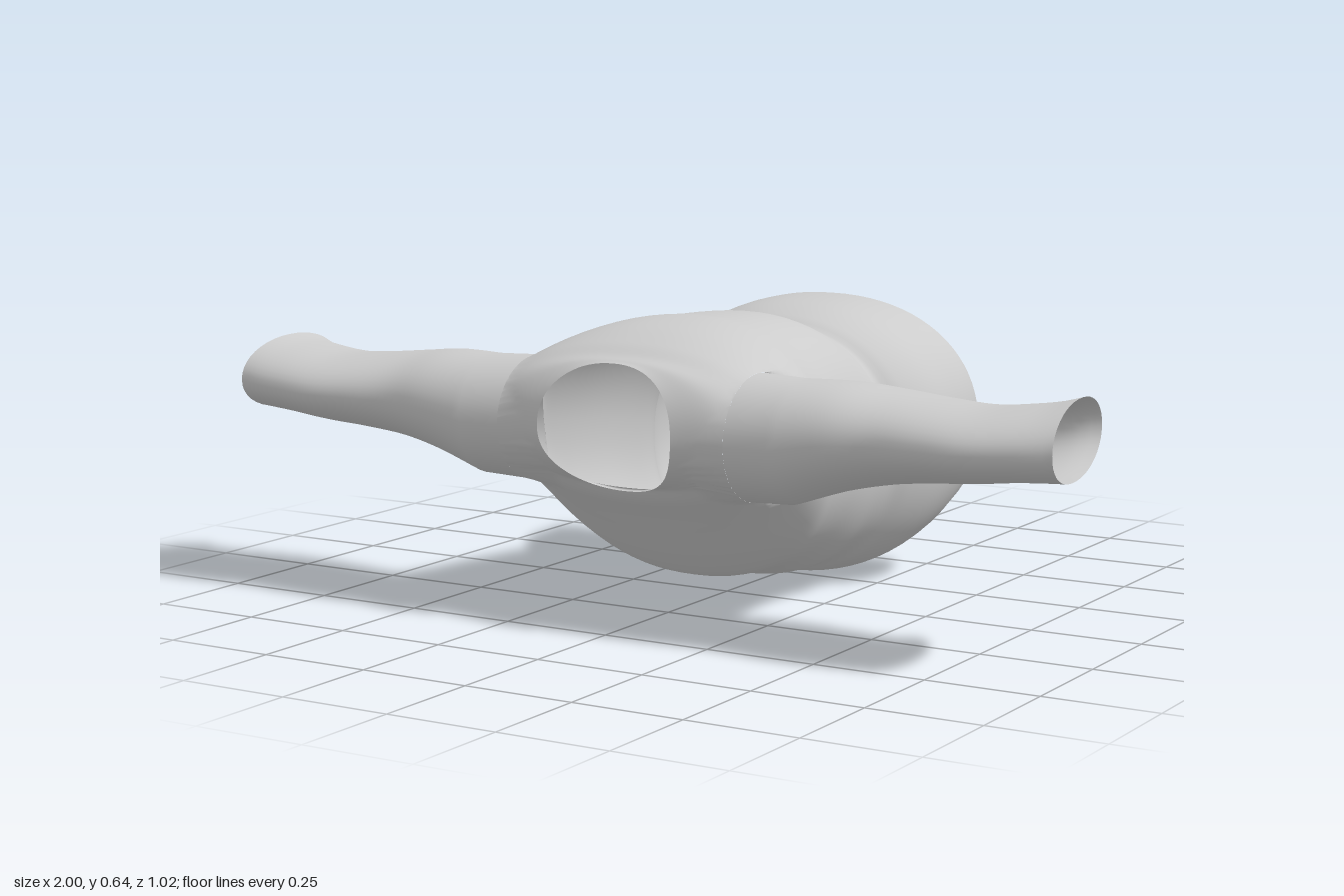
import * as THREE from 'three';

const material = new THREE.MeshStandardMaterial({ color: 0xcccccc, side: THREE.DoubleSide });
const AROUND = 80;

// Signed power, for rounded-box (superellipse) cross-sections
const spow = (v, n) => Math.sign(v) * Math.abs(v) ** (2 / n);

// Smooth interpolation through rows of [key, value, value, ...]
function interpolator(rows) {
  const width = rows[0].length - 1;
  const curve = new THREE.CubicInterpolant(
    rows.map(r => r[0]), rows.flatMap(r => r.slice(1)), width, new Float32Array(width));
  return t => [...curve.evaluate(t)];
}

// Skin over closed rings of points; triangles whose corners all satisfy isHole are left out
function loft(name, rings, isHole = () => false) {
  const n = rings[0].length;
  const points = rings.flat();
  const index = [];
  const add = (...tri) => { if (!tri.every(i => isHole(points[i]))) index.push(...tri); };
  for (let i = 0; i < rings.length - 1; i++) {
    for (let j = 0; j < n; j++) {
      const k = (j + 1) % n;
      const a = i * n + j, b = i * n + k, c = b + n, d = a + n;
      add(a, b, d);
      add(b, c, d);
    }
  }
  const geometry = new THREE.BufferGeometry().setFromPoints(points);
  geometry.setIndex(index);
  geometry.computeVertexNormals();
  const mesh = new THREE.Mesh(geometry, material);
  mesh.name = name;
  return mesh;
}

// Armhole: an ellipse in y and z, wrapping the side of the torso
const ARM = { y: 0.425, ry: 0.135, z: 0.343, rz: 0.145 };
const armholePoint = (side, u, v) => new THREE.Vector3(
  side * (0.28 + 0.08 * Math.max(0, -v) ** 2), ARM.y + ARM.ry * u, ARM.z + ARM.rz * v);

// Torso sections from hem to collar: key, z, half width, top, bottom
const torsoAt = interpolator([
  [-0.48, -0.48, 0.388, 0.632, 0.058],
  [-0.40, -0.40, 0.388, 0.632, 0.022],
  [-0.30, -0.30, 0.375, 0.622, 0.003],
  [-0.23, -0.23, 0.342, 0.602, 0.014],
  [-0.20, -0.20, 0.318, 0.588, 0.024],
  [-0.17, -0.17, 0.312, 0.604, 0.028],
  [-0.10, -0.10, 0.316, 0.626, 0.028],
  [0.00, 0.00, 0.326, 0.636, 0.052],
  [0.10, 0.10, 0.342, 0.640, 0.064],
  [0.15, 0.15, 0.354, 0.645, 0.070],
  [0.20, 0.20, 0.368, 0.645, 0.103],
  [0.30, 0.30, 0.368, 0.632, 0.192],
  [0.38, 0.38, 0.362, 0.608, 0.262],
  [0.43, 0.43, 0.340, 0.588, 0.298],
  [0.48, 0.475, 0.275, 0.580, 0.305],
  [0.54, 0.505, 0.165, 0.575, 0.298],
]);

function makeTorso() {
  const rings = [];
  const steps = 102;
  const cut = new Set();
  for (let i = 0; i <= steps; i++) {
    const key = -0.48 + 1.02 * i / steps;
    const [z, halfWidth, top, bottom] = torsoAt(key);
    const collar = THREE.MathUtils.smoothstep(key, 0.38, 0.54);
    const hem = 1 - THREE.MathUtils.smoothstep(key, -0.48, -0.28);
    const ring = [];
    for (let j = 0; j < AROUND; j++) {
      const a = j / AROUND * Math.PI * 2;
      const c = Math.cos(a), s = Math.sin(a);
      const p = new THREE.Vector3(
        halfWidth * spow(c, 2.2),
        (top + bottom) / 2 + (top - bottom) / 2 * spow(s, 2.2),
        // collar dips at centre, hem hangs lower along the belly
        z - collar * s * s * (s > 0 ? 0.04 : 0.085) - hem * 0.033 * Math.max(0, -s) ** 3);
      // Pull points inside the armhole out to its edge
      const u = (p.y - ARM.y) / ARM.ry, v = (p.z - ARM.z) / ARM.rz;
      const r = Math.hypot(u, v);
      if (r < 1 && Math.abs(p.x) > 0.2) {
        p.copy(armholePoint(Math.sign(p.x), u / (r || 1), v / (r || 1)));
        cut.add(p);
      }
      ring.push(p);
    }
    rings.push(ring);
  }
  return loft('torso', rings, p => cut.has(p));
}

// Sleeve sections: x, top, bottom, back z, front z
const sleeveAt = interpolator([
  [0.38, 0.556, 0.295, 0.200, 0.490],
  [0.50, 0.556, 0.334, 0.182, 0.482],
  [0.60, 0.545, 0.355, 0.168, 0.472],
  [0.70, 0.535, 0.368, 0.166, 0.480],
  [0.80, 0.530, 0.378, 0.175, 0.488],
  [0.90, 0.538, 0.390, 0.184, 0.480],
  [0.96, 0.546, 0.394, 0.178, 0.473],
  [1.00, 0.556, 0.394, 0.160, 0.466],
]);

function makeSleeve(side, name) {
  const ringOf = place => Array.from({ length: AROUND / 2 }, (_, j) => {
    const a = j / AROUND * Math.PI * 4;
    return place(Math.cos(a), side * Math.sin(a));
  });
  const rings = [ringOf((u, v) => armholePoint(side, u, v))];
  for (let i = 0; i <= 31; i++) {
    const x = 0.38 + 0.02 * i;
    const [top, bottom, back, front] = sleeveAt(x);
    // cuff is cut on a slant, shorter towards the back
    const slant = 0.015 * THREE.MathUtils.smoothstep(x, 0.7, 1);
    rings.push(ringOf((u, v) => new THREE.Vector3(
      side * (x - slant * (1 - v)),
      (top + bottom) / 2 + (top - bottom) / 2 * spow(u, 2.1) - 0.008 * v * slant / 0.015,
      (front + back) / 2 + (front - back) / 2 * spow(v, 2.1))));
  }
  return loft(name, rings);
}

export function createModel() {
  const group = new THREE.Group();
  group.name = 'pullover';
  group.add(makeTorso(), makeSleeve(1, 'leftSleeve'), makeSleeve(-1, 'rightSleeve'));
  return group;
}
